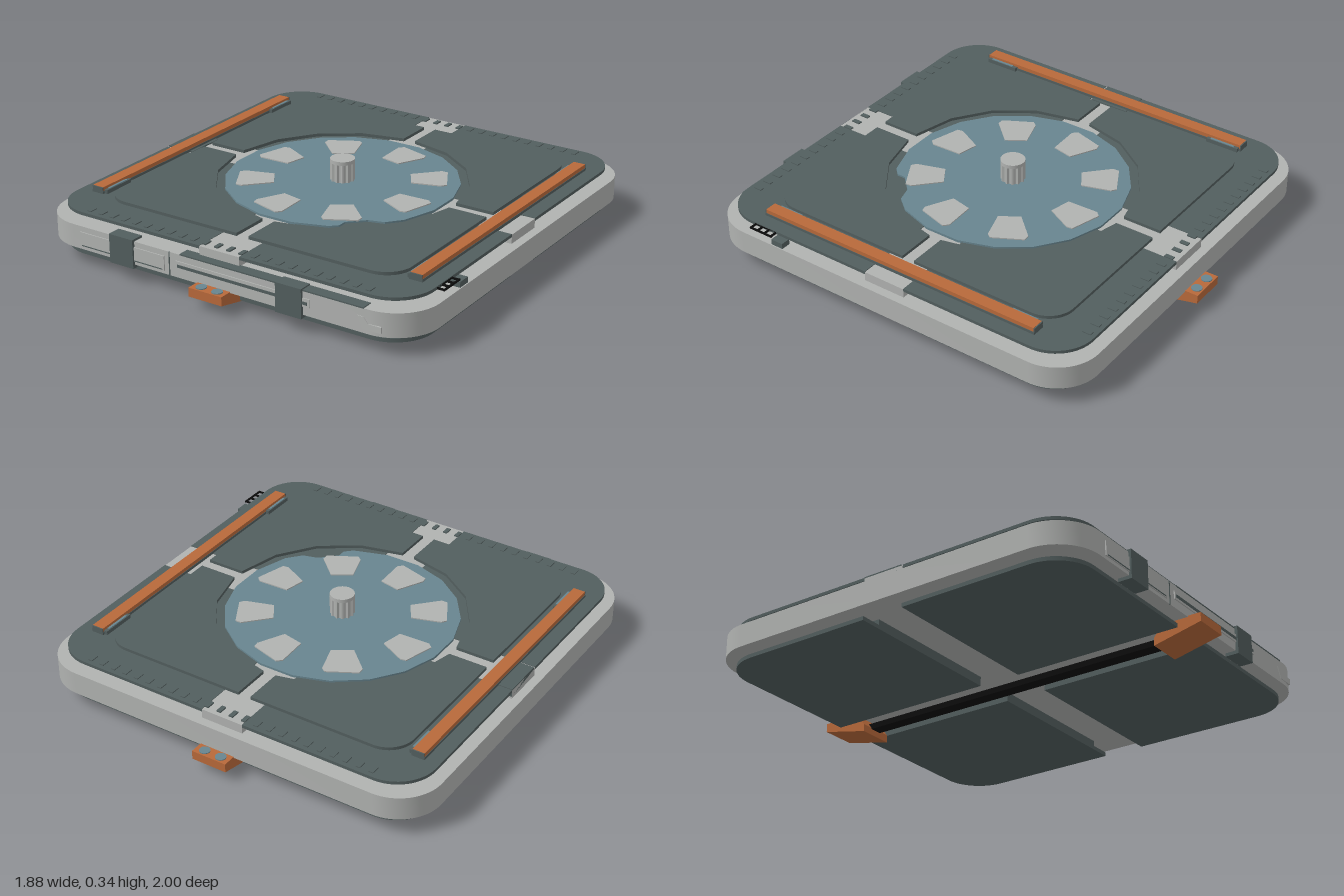
import * as THREE from 'three';
import { toCreasedNormals } from 'three/addons/utils/BufferGeometryUtils.js';

const mat = (name, color, side = THREE.FrontSide) => {
  const m = new THREE.MeshStandardMaterial({ color, side });
  m.name = name;
  return m;
};

export function createModel() {
  const root = new THREE.Group();
  const grey = mat('light grey', 0xb0b2b0);
  const dark = mat('dark slate', 0x525e5e);
  const orange = mat('orange', 0xb8693a);
  const blue = mat('steel blue', 0x68858f);
  const black = mat('black', 0x0c0c0c);

  const add = (name, geo, material, parent = root) => {
    const m = new THREE.Mesh(geo, material);
    m.name = name;
    parent.add(m);
    return m;
  };
  // box given by its limits
  const box = (name, material, x0, x1, y0, y1, z0, z1) => {
    const m = add(name, new THREE.BoxGeometry(x1 - x0, y1 - y0, z1 - z0), material);
    m.position.set((x0 + x1) / 2, (y0 + y1) / 2, (z0 + z1) / 2);
    return m;
  };
  // outline drawn in plan and raised from y0 to y1
  const slab = (shape, y0, y1) => {
    const g = new THREE.ExtrudeGeometry(shape, { depth: y1 - y0, bevelEnabled: false, curveSegments: 8 });
    g.rotateX(-Math.PI / 2).translate(0, y0, 0);
    return toCreasedNormals(g, 0.5);
  };
  const roundedSquare = (h, r) => {
    const s = new THREE.Shape();
    s.moveTo(-h + r, -h).lineTo(h - r, -h);
    s.absarc(h - r, -h + r, r, -Math.PI / 2, 0);
    s.absarc(h - r, h - r, r, 0, Math.PI / 2);
    s.absarc(-h + r, h - r, r, Math.PI / 2, Math.PI);
    s.absarc(-h + r, -h + r, r, Math.PI, Math.PI * 1.5);
    return s;
  };
  // one corner panel, with an optional faceted cut around the centre
  const quarter = (gap, h, r, cut = 0) => {
    const s = new THREE.Shape();
    const a = cut ? Math.asin(gap / cut) : 0;
    s.moveTo(cut ? cut * Math.cos(a) : gap, gap);
    s.lineTo(h, gap);
    s.lineTo(h, h - r);
    s.absarc(h - r, h - r, r, 0, Math.PI / 2);
    s.lineTo(gap, h);
    if (cut) for (let i = 0; i <= 4; i++) {
      const t = Math.PI / 2 - a - (i / 4) * (Math.PI / 2 - 2 * a);
      s.lineTo(cut * Math.cos(t), cut * Math.sin(t));
    }
    return s;
  };
  const fourPanels = (name, shape, y0, y1) => {
    const g = slab(shape, y0, y1);
    for (let i = 0; i < 4; i++) add(name, g, dark).rotation.y = i * Math.PI / 2;
  };

  // body and its dark panels above and below
  add('body', slab(roundedSquare(0.94, 0.2), 0.085, 0.19), grey);
  fourPanels('upperCore', quarter(0.1, 0.8, 0.15), 0.19, 0.22);
  fourPanels('upperPanel', quarter(0.1, 0.9, 0.18), 0.22, 0.234);
  fourPanels('insetPanel', quarter(0.03, 0.74, 0.12, 0.56), 0.234, 0.248);
  fourPanels('lowerCore', quarter(0.1, 0.8, 0.15), 0.06, 0.085);
  fourPanels('lowerPanel', quarter(0.1, 0.9, 0.18), 0.042, 0.06);

  // raised cross between the panels
  box('crossLength', grey, -0.1, 0.1, 0.19, 0.232, -0.9, 0.9);
  box('crossWidth', grey, -0.9, 0.9, 0.19, 0.231, -0.1, 0.1);
  box('sideCover', dark, -0.9, -0.76, 0.2, 0.237, -0.1, 0.09);

  // turntable disc with a notch
  const disc = new THREE.Shape();
  for (let i = 0; i < 20; i++) {
    const t = i * Math.PI / 10 + 0.16;
    if (i === 17) {
      [[0.27, -0.43], [0.27, -0.39], [0.34, -0.32], [0.41, -0.3]].forEach(p => disc.lineTo(...p));
    } else {
      const p = [0.52 * Math.cos(t), 0.52 * Math.sin(t)];
      i ? disc.lineTo(...p) : disc.moveTo(...p);
    }
  }
  add('disc', slab(disc, 0.23, 0.242), blue);

  // ring of tapered cells
  const cell = new THREE.Shape();
  cell.moveTo(-0.05, 0.3).lineTo(0.05, 0.3).lineTo(0.085, 0.43).lineTo(0.075, 0.455);
  cell.lineTo(-0.07, 0.465).lineTo(-0.085, 0.44);
  const cellGeo = slab(cell, 0.241, 0.247);
  for (let i = 0; i < 8; i++) add('cell', cellGeo, grey).rotation.y = -0.21 + i * Math.PI / 4;

  // fluted knob
  const knob = new THREE.Shape();
  for (let i = 0; i < 48; i++) {
    const r = i % 4 < 2 ? 0.055 : 0.048;
    const t = i * Math.PI / 24;
    i ? knob.lineTo(r * Math.cos(t), r * Math.sin(t)) : knob.moveTo(r, 0);
  }
  add('knob', slab(knob, 0.24, 0.325), grey);
  const cap = add('knobCap', new THREE.CylinderGeometry(0.055, 0.055, 0.017, 24), grey);
  cap.position.y = 0.3335;

  // side rails with brackets
  for (const s of [-1, 1]) {
    const span = (a, b) => [Math.min(s * a, s * b), Math.max(s * a, s * b)];
    box('railBase', dark, ...span(0.775, 0.835), 0.232, 0.246, -0.7, 0.7);
    box('rail', orange, ...span(0.777, 0.833), 0.246, 0.264, -0.695, 0.695);
    for (const e of [-1, 1]) {
      box('railBracket', dark, ...span(0.76, 0.777), 0.234, 0.252, e * 0.61 - 0.08, e * 0.61 + 0.08);
      box('railEnd', dark, ...span(0.777, 0.833), 0.24, 0.263, e * 0.697 - 0.003, e * 0.697 + 0.003);
      box('bracketPad', blue, ...span(0.763, 0.774), 0.252, 0.255, e * 0.61 - 0.06, e * 0.61 + 0.06);
    }
  }

  // rows of small vents
  for (const z of [-0.86, 0.86]) {
    for (let i = 0; i < 24; i++) {
      const x = -0.7 + i * 1.4 / 23;
      box('vent', dark, x - 0.01, x + 0.01, 0.23, 0.238, z - 0.02, z + 0.02);
    }
  }

  // end feet with bolts, and the rod between them
  const profile = new THREE.Shape();
  profile.moveTo(1, 0.05).lineTo(1, 0.09).lineTo(0.82, 0.09).lineTo(0.775, 0.035).lineTo(0.775, 0);
  const footGeo = new THREE.ExtrudeGeometry(profile, { depth: 0.166, bevelEnabled: false });
  footGeo.rotateY(-Math.PI / 2).translate(0.083, 0, 0);
  for (const turn of [0, Math.PI]) {
    const foot = new THREE.Group();
    foot.name = 'foot';
    foot.rotation.y = turn;
    root.add(foot);
    add('footBlock', footGeo, orange, foot);
    for (const x of [-0.04, 0.04]) {
      add('bolt', new THREE.CylinderGeometry(0.024, 0.024, 0.008, 16), blue, foot).position.set(x, 0.09, 0.97);
    }
  }
  box('rod', black, -0.03, 0.03, 0.028, 0.055, -0.8, 0.8);

  // front edge: clamps, panel, slot and latch
  box('frontTrim', dark, -0.17, 0.72, 0.188, 0.194, 0.89, 0.941);
  for (const x of [-0.47, 0.375]) box('clamp', dark, x - 0.062, x + 0.062, 0.07, 0.2, 0.89, 0.953);
  box('frontPanel', grey, -0.7, -0.25, 0.1, 0.165, 0.938, 0.945);
  box('panelSeam', dark, -0.69, -0.26, 0.103, 0.107, 0.94, 0.947);
  box('dividerSeam', dark, -0.227, -0.222, 0.085, 0.19, 0.936, 0.942);
  box('slotFrame', grey, -0.19, 0.47, 0.123, 0.16, 0.938, 0.945);
  box('slot', dark, -0.18, 0.46, 0.133, 0.146, 0.94, 0.947);
  const latch = new THREE.Shape();
  latch.moveTo(0.69, 0.155).lineTo(0.72, 0.155).lineTo(0.74, 0.13).lineTo(0.8, 0.13);
  latch.lineTo(0.8, 0.103).lineTo(0.715, 0.103);
  const latchGeo = new THREE.ExtrudeGeometry(latch, { depth: 0.008, bevelEnabled: false });
  add('latch', latchGeo, grey).position.z = 0.935;

  // small ladder grille on the left edge
  box('grilleMount', dark, 0.89, 0.935, 0.188, 0.215, 0.52, 0.58);
  for (const x of [0.897, 0.932]) box('grilleRail', black, x - 0.003, x + 0.003, 0.222, 0.23, 0.58, 0.7);
  for (let i = 0; i < 4; i++) {
    const z = 0.585 + i * 0.037;
    box('grilleRung', black, 0.89, 0.935, 0.222, 0.23, z - 0.003, z + 0.003);
  }
  return root;
}
